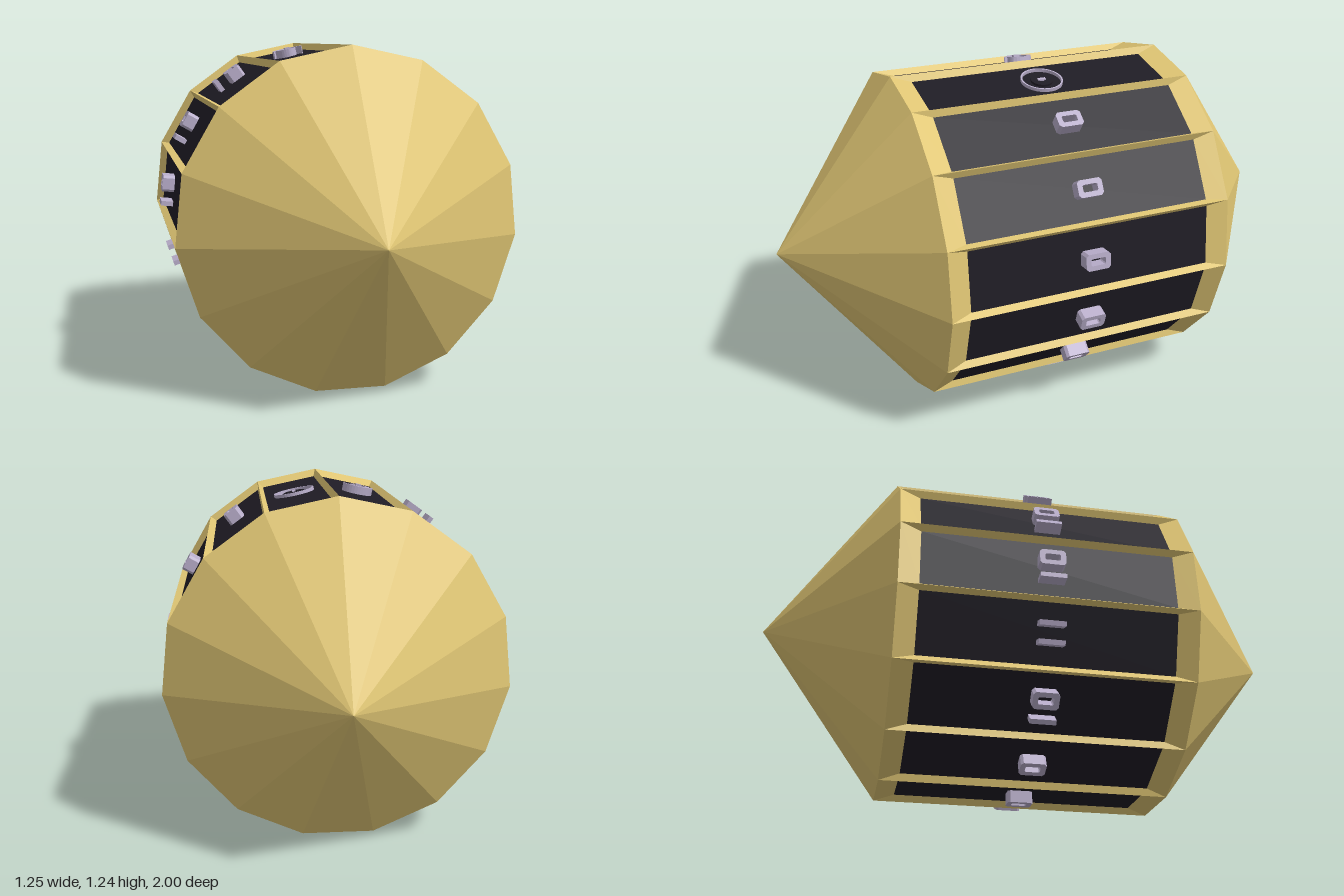
import * as THREE from 'three';

const SIDES = 15, STEP = (Math.PI * 2) / SIDES;
const R = 0.6158, APOTHEM = R * Math.cos(STEP / 2), HALF = R * Math.sin(STEP / 2);
const BODY_Z = 0.535, TIP_Z = 1, CENTER_Y = 0.625;
const PANEL = { y: 0.58, x: 0.111, z: 0.46 };

const gold = new THREE.MeshStandardMaterial({ color: 0xe0c674, flatShading: true });
const dark = new THREE.MeshStandardMaterial({ color: 0x1f1c25, flatShading: true });
const pale = new THREE.MeshStandardMaterial({ color: 0xb9aecb });

function add(parent, name, geometry, material) {
  const mesh = new THREE.Mesh(geometry, material);
  mesh.name = name;
  parent.add(mesh);
  return mesh;
}

// Four sloping strips from the outer face rectangle down to the sunken panel
function frameGeometry() {
  const rect = (x, y, z) => [[-x, y, z], [x, y, z], [x, y, -z], [-x, y, -z]];
  const outer = rect(HALF, APOTHEM, BODY_Z), inner = rect(PANEL.x, PANEL.y, PANEL.z);
  const pos = [];
  for (let i = 0; i < 4; i++) {
    const j = (i + 1) % 4;
    pos.push(...outer[i], ...outer[j], ...inner[j], ...outer[i], ...inner[j], ...inner[i]);
  }
  const g = new THREE.BufferGeometry();
  g.setAttribute('position', new THREE.Float32BufferAttribute(pos, 3));
  g.computeVertexNormals();
  return g;
}

// Raise a flat shape out of the panel
function raise(shape, height) {
  return new THREE.ExtrudeGeometry(shape, { depth: height, bevelEnabled: false, curveSegments: 24 })
    .rotateX(-Math.PI / 2).translate(0, PANEL.y, 0);
}

function lozenge(w, h) {
  const c = w * 0.3;
  return [[-w + c, -h], [w - c, -h], [w, -h + c], [w, h - c], [w - c, h], [-w + c, h], [-w, h - c], [-w, -h + c]]
    .map(([x, y]) => new THREE.Vector2(x, y));
}

// Plain raised marks: a wide hollow stud or a thin bar
function wideMark() {
  const s = new THREE.Shape(lozenge(0.031, 0.047));
  s.holes.push(new THREE.Path(lozenge(0.013, 0.028).reverse()));
  return raise(s, 0.045);
}

function barMark() {
  return new THREE.BoxGeometry(0.018, 0.045, 0.094).translate(0, PANEL.y + 0.0225, 0);
}

function ring(outer, inner) {
  const s = new THREE.Shape().absarc(0, 0, outer, 0, Math.PI * 2, false);
  s.holes.push(new THREE.Path().absarc(0, 0, inner, 0, Math.PI * 2, true));
  return s;
}

// Tapering arc used for the swirl
function crescent(radius, width) {
  const pts = [], N = 20, sweep = Math.PI * 1.25;
  for (let i = 0; i <= N; i++) {
    const a = (i / N) * sweep;
    pts.push(new THREE.Vector2(Math.cos(a) * radius, Math.sin(a) * radius));
  }
  for (let i = N - 1; i > 0; i--) {
    const a = (i / N) * sweep, r = radius - width * Math.sin((i / N) * Math.PI);
    pts.push(new THREE.Vector2(Math.cos(a) * r, Math.sin(a) * r));
  }
  return new THREE.Shape(pts);
}

function ringOrnament(face) {
  add(face, 'ornamentRing', raise(ring(0.078, 0.072), 0.012), pale);
  add(face, 'ornamentDisc', raise(ring(0.04, 0.012), 0.008), dark);
  add(face, 'ornamentCenter', new THREE.BoxGeometry(0.014, 0.012, 0.03).translate(0, PANEL.y + 0.006, 0), pale);
}

function swirlOrnament(face) {
  [[0.058, 0.016, -0.5], [0.046, 0.014, 0.7], [0.033, 0.01, 2.6]].forEach(([r, w, turn]) => {
    add(face, 'swirlArc', raise(crescent(r, w), 0.03), pale).rotation.y = turn;
  });
  add(face, 'swirlCenter', new THREE.BoxGeometry(0.02, 0.035, 0.024).translate(0, PANEL.y + 0.0175, 0), pale);
}

export function createModel() {
  const model = new THREE.Group();
  model.name = 'fifteenSidedDie';
  const body = new THREE.Group();
  body.name = 'body';
  body.position.y = CENTER_Y;
  model.add(body);

  // Pointed ends, one corner upward
  for (const side of [1, -1]) {
    const cone = new THREE.ConeGeometry(R, TIP_Z - BODY_Z, SIDES, 1, true);
    cone.rotateY(side > 0 ? Math.PI : 0).rotateX((side * Math.PI) / 2);
    cone.translate(0, 0, (side * (TIP_Z + BODY_Z)) / 2);
    add(body, side > 0 ? 'frontPoint' : 'backPoint', cone, gold);
  }

  // Framed panels around the barrel
  const frame = frameGeometry();
  const panel = new THREE.PlaneGeometry(PANEL.x * 2, PANEL.z * 2).rotateX(-Math.PI / 2).translate(0, PANEL.y, 0);
  const wide = wideMark(), bar = barMark();
  for (let i = 0; i < SIDES; i++) {
    const face = new THREE.Group();
    face.name = 'face' + (i + 1);
    face.rotation.z = -(i + 0.5) * STEP;
    body.add(face);
    add(face, 'panelFrame', frame, gold);
    add(face, 'panel', panel, dark);

    if (i === 0) ringOrnament(face);
    else if (i === SIDES - 1) swirlOrnament(face);
    else if (i < 9) add(face, 'raisedMark', wide, pale);
    else {
      add(face, 'raisedBar', bar, pale).position.x = i === 10 ? -0.033 : -0.052;
      add(face, 'raisedMark', i === 10 ? bar : wide, pale).position.x = i === 10 ? 0.033 : 0.024;
    }
  }
  return model;
}
